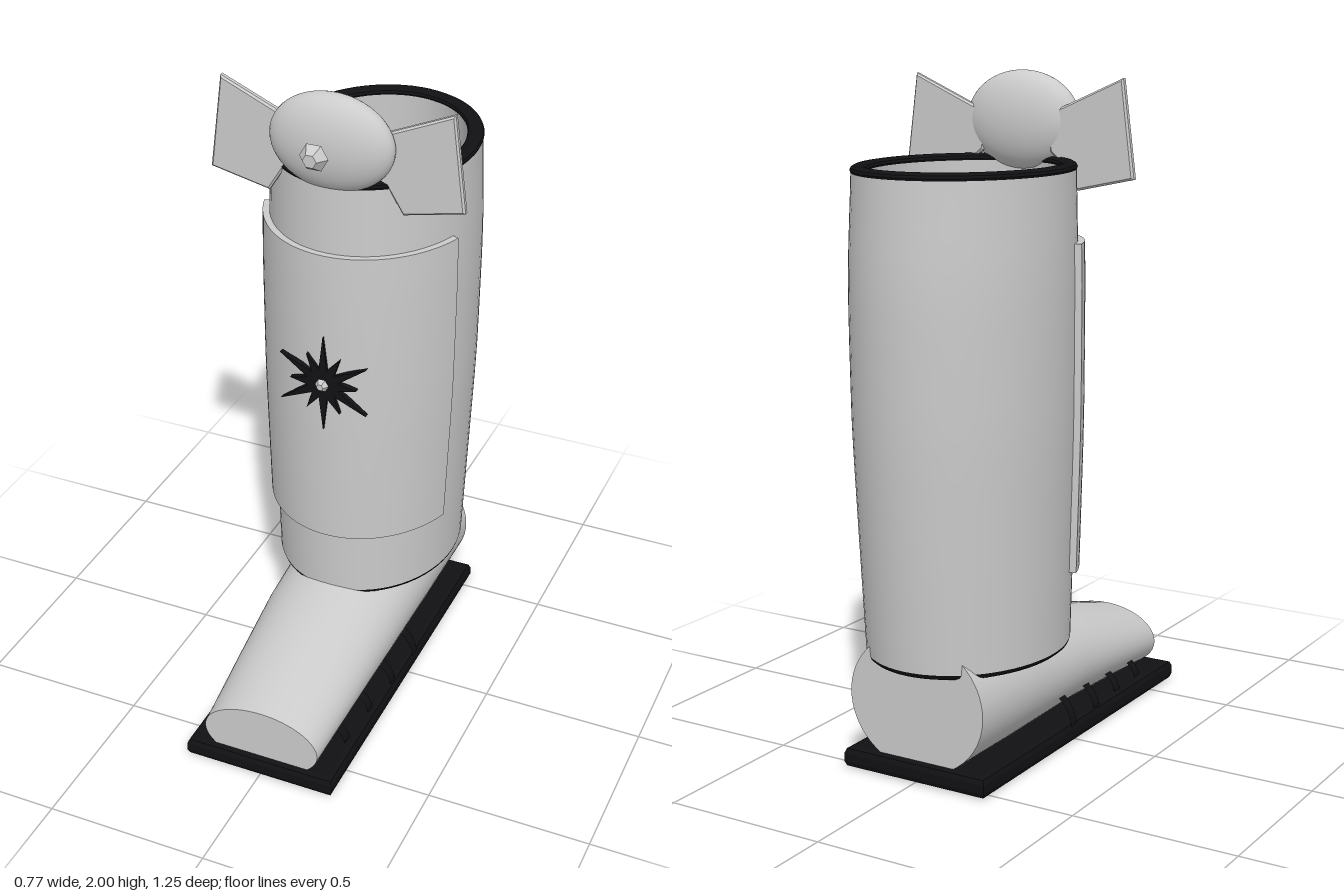
import * as THREE from 'three';
import { toCreasedNormals } from 'three/addons/utils/BufferGeometryUtils.js';

const grey = new THREE.MeshStandardMaterial({ color: 0xcccccc });
const black = new THREE.MeshStandardMaterial({ color: 0x111114 });
const blackThin = new THREE.MeshStandardMaterial({ color: 0x111114, side: THREE.DoubleSide });
const greyFlat = new THREE.MeshStandardMaterial({ color: 0xcccccc, flatShading: true });

// Surface from a grid of points: point(i, j) returns [x, y, z]
function gridSurface(nu, nv, point, crease = 0.6) {
  const pos = [], index = [];
  for (let j = 0; j <= nv; j++) for (let i = 0; i <= nu; i++) pos.push(...point(i, j));
  for (let j = 0; j < nv; j++) for (let i = 0; i < nu; i++) {
    const a = j * (nu + 1) + i, d = a + nu + 1;
    index.push(a, a + 1, d, a + 1, d + 1, d);
  }
  const g = new THREE.BufferGeometry();
  g.setAttribute('position', new THREE.Float32BufferAttribute(pos, 3));
  g.setIndex(index);
  return toCreasedNormals(g, crease);
}

// Elliptical cross-section of the leg at height y
const legCurve = new THREE.CatmullRomCurve3([
  // x radius, z radius, centre z
  [0.283, 0.343, -0.238], [0.295, 0.357, -0.245], [0.306, 0.367, -0.252],
  [0.308, 0.369, -0.255], [0.3, 0.357, -0.25],
].map(p => new THREE.Vector3(...p)));
const LEG_BOTTOM = 0.35, LEG_TOP = 1.735;
function legPoint(theta, y, offset) {
  const t = THREE.MathUtils.clamp((y - LEG_BOTTOM) / (LEG_TOP - LEG_BOTTOM), 0, 1);
  const s = legCurve.getPoint(t);
  return [(s.x + offset) * Math.sin(theta), y, s.z + (s.y + offset) * Math.cos(theta)];
}

// Hollow shaft: up the outside, down the inside, closed underneath
function shaftGeometry() {
  const n = 20, rows = [];
  for (let k = 0; k <= n; k++) rows.push([LEG_BOTTOM + (LEG_TOP - LEG_BOTTOM) * k / n, 0]);
  for (let k = n; k >= 0; k--) rows.push([LEG_BOTTOM + (LEG_TOP - LEG_BOTTOM) * k / n, -0.045]);
  rows.push(rows[0]);
  return gridSurface(64, rows.length - 1, (i, j) => legPoint(i / 64 * Math.PI * 2, ...rows[j]));
}

// Rounded trim following the shaft rim
function trimGeometry(y, inset, width, height) {
  return gridSurface(64, 12, (i, j) => {
    const phi = j / 12 * Math.PI * 2;
    const p = legPoint(i / 64 * Math.PI * 2, y, -inset + width * Math.cos(phi));
    p[1] = y + height * Math.sin(phi);
    return p;
  });
}

// Curved plate wrapped around the front of the shaft
function shinGeometry() {
  const y0 = 0.565, y1 = 1.53, span = 1.225, n = 16, m = 40;
  return gridSurface(m + 2, n + 2, (i, j) => {
    const edge = i === 0 || j === 0 || i === m + 2 || j === n + 2;
    const u = THREE.MathUtils.clamp((i - 1) / m, 0, 1);
    const v = THREE.MathUtils.clamp((j - 1) / n, 0, 1);
    return legPoint((u * 2 - 1) * span, y0 + (y1 - y0) * v, edge ? -0.005 : 0.02);
  });
}

// Foot: ellipses cut flat at the sole, lofted from heel to toe
function footGeometry() {
  const sections = [
    // z, x radius, centre y, y radius
    [-0.525, 0.225, 0.235, 0.205], [-0.2, 0.222, 0.222, 0.19],
    [0.1, 0.215, 0.2, 0.16], [0.36, 0.2, 0.163, 0.132], [0.61, 0.185, 0.125, 0.105],
  ];
  const rows = [sections[0], ...sections, sections[sections.length - 1]];
  return gridSurface(64, rows.length - 1, (i, j) => {
    const a = i / 64 * Math.PI * 2, [z, rx, cy, ry] = rows[j];
    if (j === 0 || j === rows.length - 1) return [0, cy, z];
    return [rx * Math.cos(a), Math.max(0.06, cy + ry * Math.sin(a)), z];
  });
}

function polygon(points) {
  return new THREE.Shape(points.map(p => new THREE.Vector2(...p)));
}

// Sole slab with chamfered edges
function soleGeometry() {
  const x = 0.22, z0 = -0.61, z1 = 0.525;
  const g = new THREE.ExtrudeGeometry(polygon([[-x, z0], [x, z0], [x, z1], [-x, z1]]),
    { depth: 0.025, bevelEnabled: true, bevelSize: 0.02, bevelThickness: 0.02, bevelSegments: 2 });
  return g.rotateX(-Math.PI / 2).translate(0, 0.02, 0);
}

// Twelve-pointed star with alternating long and short rays
function starGeometry() {
  const pts = [];
  for (let k = 0; k < 24; k++) {
    const r = k % 2 ? 0.05 : k % 4 ? 0.105 : 0.157;
    const a = Math.PI / 2 + k * Math.PI / 12;
    pts.push([r * Math.cos(a), r * Math.sin(a)]);
  }
  return new THREE.ExtrudeGeometry(polygon(pts), { depth: 0.018, bevelEnabled: false });
}

// Six-sided faceted stud pointing forward
function studGeometry(r) {
  const profile = [[0, -0.68], [1, 0], [0.48, 0.7], [0, 0.7]];
  return new THREE.LatheGeometry(profile.map(p => new THREE.Vector2(p[0] * r, p[1] * r)), 6)
    .rotateX(Math.PI / 2).rotateZ(Math.PI / 6);
}

export function createModel() {
  const model = new THREE.Group();
  const add = (name, geometry, material, x = 0, y = 0, z = 0) => {
    const mesh = new THREE.Mesh(geometry, material);
    mesh.name = name;
    mesh.position.set(x, y, z);
    model.add(mesh);
    return mesh;
  };

  // Foot and sole
  add('sole', soleGeometry(), black);
  add('foot', footGeometry(), grey);

  // Thin bands arching out of the lower sides of the foot
  [[0.44, 0.21, 0.1], [0.285, 0.22, 0.115], [0.13, 0.23, 0.13], [-0.03, 0.24, 0.15]].forEach(([z, rx, ry], i) => {
    const g = new THREE.CylinderGeometry(1, 1, 0.035, 32, 1, true, -Math.PI / 2, Math.PI);
    add('footBand' + (i + 1), g.rotateX(-Math.PI / 2).scale(rx, ry, 1), blackThin, 0, 0.055, z);
  });

  // Shaft, rims and shin plate
  add('shaft', shaftGeometry(), grey);
  add('topTrim', trimGeometry(1.74, 0.022, 0.025, 0.015), black);
  add('bottomTrim', trimGeometry(0.35, 0.022, 0.022, 0.018), black);
  add('shinPlate', shinGeometry(), grey);

  // Star with its centre stud
  add('star', starGeometry(), black, 0, 1.115, 0.126);
  add('starStud', studGeometry(0.022), greyFlat, 0, 1.115, 0.15);

  // Knee guard with side wings and front stud
  add('kneeGuard', new THREE.SphereGeometry(1, 40, 28).scale(0.187, 0.144, 0.072), grey, 0, 1.856, 0.072);
  add('kneeStud', studGeometry(0.043), greyFlat, 0, 1.86, 0.193);
  for (const side of [1, -1]) {
    const pts = [[0.1, 1.87], [0.12, 1.77], [0.165, 1.735], [0.207, 1.667], [0.38, 1.705], [0.345, 1.977], [0.17, 1.9]];
    const wing = new THREE.ExtrudeGeometry(polygon(pts.map(([x, y]) => [x * side, y])),
      { depth: 0.012, bevelEnabled: true, bevelSize: 0.006, bevelThickness: 0.006, bevelSegments: 1 });
    add(side > 0 ? 'leftWing' : 'rightWing', wing, grey, 0, 0, 0.035);
  }
  return model;
}
